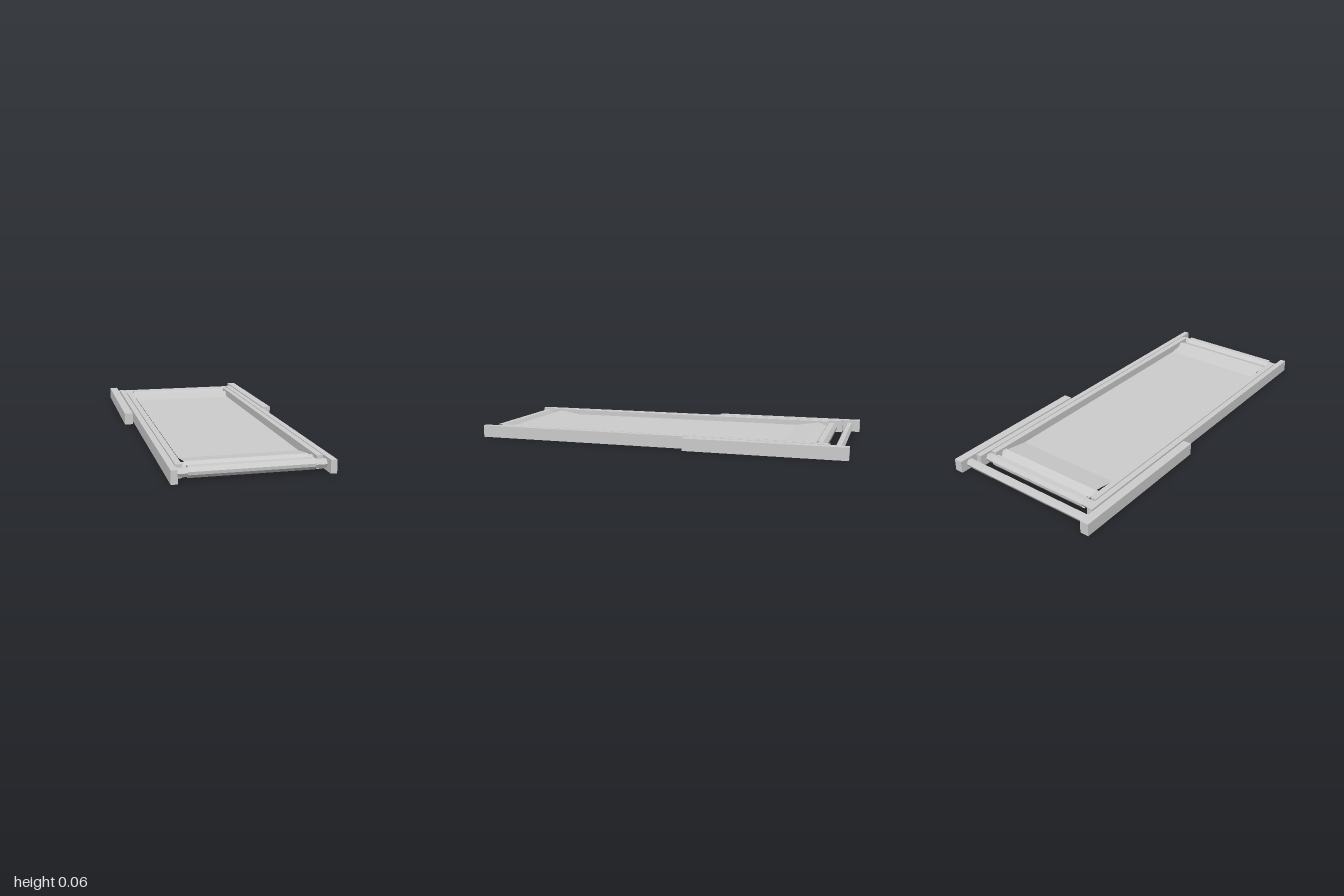
import * as THREE from 'three';

const material = new THREE.MeshStandardMaterial({ color: 0xcccccc, flatShading: true });
const clothMaterial = new THREE.MeshStandardMaterial({ color: 0xcccccc, flatShading: true, side: THREE.DoubleSide });
const HEIGHT = 0.065;
const ROD_Y = 0.034;

export function createModel() {
  const group = new THREE.Group();

  // Mirrored pair of square-section side rails
  function railPair(name, xIn, xOut, zBack, zFront) {
    for (const side of [1, -1]) {
      const rail = new THREE.Mesh(new THREE.BoxGeometry(xOut - xIn, HEIGHT, zFront - zBack), material);
      rail.position.set(side * (xIn + xOut) / 2, HEIGHT / 2, (zBack + zFront) / 2);
      rail.name = (side > 0 ? 'left' : 'right') + name;
      group.add(rail);
    }
  }
  railPair('SupportRail', 0.392, 0.438, -1, -0.17);
  railPair('MainRail', 0.352, 0.383, -0.905, 1);
  railPair('InnerRail', 0.316, 0.347, -0.835, 0.915);

  // Six-sided cross rods
  function crossRod(name, halfLength, z) {
    const geometry = new THREE.CylinderGeometry(0.0225, 0.0225, halfLength * 2, 6).rotateZ(Math.PI / 2);
    const rod = new THREE.Mesh(geometry, material);
    rod.position.set(0, ROD_Y, z);
    rod.name = name;
    group.add(rod);
  }
  crossRod('supportRod', 0.392, -0.944);
  crossRod('backRod', 0.352, -0.85);
  crossRod('frontRod', 0.352, 0.938);
  crossRod('innerBackRod', 0.316, -0.775);
  crossRod('innerFrontRod', 0.316, 0.855);

  // Cloth: looped round the end rods, over the inner rods, with a shallow sag between
  const profile = [ // [z, y]
    [0.903, 0.043], [0.922, 0.062], [0.953, 0.062], [0.968, 0.042], [0.966, 0.027], [0.945, 0.008], [0.918, 0.01],
    [0.903, 0.027], [0.9, 0.043], [0.852, 0.06], [0.725, 0.04],
    [-0.65, 0.04], [-0.774, 0.06], [-0.822, 0.043],
    [-0.823, 0.027], [-0.836, 0.01], [-0.864, 0.008], [-0.879, 0.027], [-0.88, 0.042], [-0.865, 0.062],
    [-0.836, 0.062], [-0.822, 0.043],
  ];
  const positions = [];
  const indices = [];
  profile.forEach(([z, y], i) => {
    positions.push(-0.298, y, z, 0.296, y, z);
    if (i > 0) {
      const a = 2 * (i - 1);
      indices.push(a, a + 1, a + 2, a + 1, a + 3, a + 2);
    }
  });
  const clothGeometry = new THREE.BufferGeometry();
  clothGeometry.setAttribute('position', new THREE.Float32BufferAttribute(positions, 3));
  clothGeometry.setIndex(indices);
  clothGeometry.computeVertexNormals();
  const cloth = new THREE.Mesh(clothGeometry, clothMaterial);
  cloth.name = 'slingCloth';
  group.add(cloth);

  return group;
}
